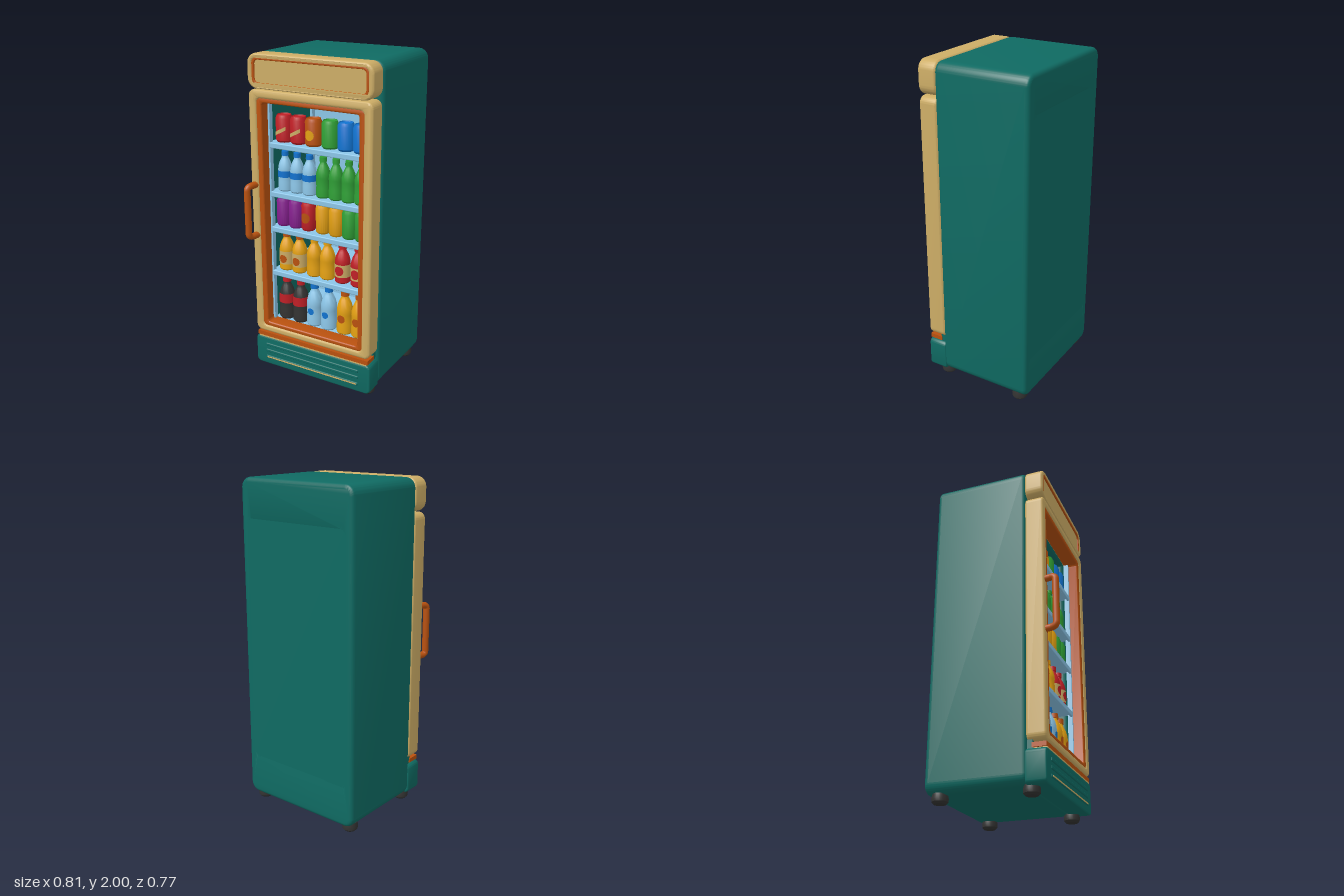
import * as THREE from 'three';
import { toCreasedNormals } from 'three/addons/utils/BufferGeometryUtils.js';
import { RoundedBoxGeometry } from 'three/addons/geometries/RoundedBoxGeometry.js';

const COLORS = {
  teal: 0x0f6a62, cream: 0xcdad66, orange: 0xb9510f, paleBlue: 0x8cc6e8, charcoal: 0x333332,
  red: 0xc01f26, green: 0x2f9f36, amber: 0xe3a012, blue: 0x1173d0, purple: 0x86208f,
};
const mats = {};
for (const [name, color] of Object.entries(COLORS)) {
  mats[name] = new THREE.MeshStandardMaterial({ color });
  mats[name].name = name;
}

function add(parent, name, geometry, color, x = 0, y = 0, z = 0) {
  const mesh = new THREE.Mesh(geometry, mats[color]);
  mesh.name = name;
  mesh.position.set(x, y, z);
  parent.add(mesh);
  return mesh;
}

// Rounded rectangle, symmetric about x = 0
function roundRect(path, w, y0, y1, r) {
  path.moveTo(-w + r, y0);
  path.lineTo(w - r, y0);
  path.absarc(w - r, y0 + r, r, -Math.PI / 2, 0, false);
  path.lineTo(w, y1 - r);
  path.absarc(w - r, y1 - r, r, 0, Math.PI / 2, false);
  path.lineTo(-w + r, y1);
  path.absarc(-w + r, y1 - r, r, Math.PI / 2, Math.PI, false);
  path.lineTo(-w, y0 + r);
  path.absarc(-w + r, y0 + r, r, Math.PI, Math.PI * 1.5, false);
  return path;
}

// Bevelled slab from z0 to z1; outer and hole are [halfWidth, y0, y1, radius]
function slab(outer, hole, z0, z1, bevel) {
  const shape = roundRect(new THREE.Shape(), ...outer);
  if (hole) shape.holes.push(roundRect(new THREE.Path(), ...hole));
  const g = new THREE.ExtrudeGeometry(shape, {
    depth: z1 - z0 - 2 * bevel, bevelEnabled: bevel > 0, bevelThickness: bevel,
    bevelSize: bevel, bevelOffset: -bevel, bevelSegments: 4, curveSegments: 8,
  });
  g.translate(0, 0, z0 + bevel);
  return toCreasedNormals(g, 0.6);
}

function box(parent, name, color, x0, x1, y0, y1, z0, z1) {
  return add(parent, name, new THREE.BoxGeometry(x1 - x0, y1 - y0, z1 - z0), color,
    (x0 + x1) / 2, (y0 + y1) / 2, (z0 + z1) / 2);
}

function lathe(points) {
  return toCreasedNormals(new THREE.LatheGeometry(points.map((p) => new THREE.Vector2(...p)), 24), 0.6);
}

// Wraps a flat decal around a vertical cylinder of radius r
function wrap(g, r, slant = 0) {
  const p = g.attributes.position;
  for (let i = 0; i < p.count; i++) {
    const a = p.getX(i) / r;
    p.setXYZ(i, Math.sin(a) * r, p.getY(i) + slant * p.getX(i), Math.cos(a) * r);
  }
  g.computeVertexNormals();
  return g;
}

function decorate(item, r, h, { band, dot, swoosh }) {
  if (band) {
    const [color, y0, y1] = band;
    add(item, 'label', new THREE.CylinderGeometry(r + 0.001, r + 0.001, (y1 - y0) * h, 24, 1, true),
      color, 0, (y0 + y1) / 2 * h, 0);
  }
  if (dot) add(item, 'labelDot', wrap(new THREE.RingGeometry(0, dot[2] || 0.022, 16, 3), r + 0.003), dot[0], 0, dot[1] * h, 0);
  if (swoosh) add(item, 'labelStripe', wrap(new THREE.PlaneGeometry(0.075, 0.022, 8, 1), r + 0.003, 0.5), swoosh, 0, h * 0.42, 0);
}

function can(r, h, color, deco = {}) {
  const item = new THREE.Group();
  item.name = 'can';
  add(item, 'canBody', lathe([[0, 0], [r * 0.82, 0], [r, 0.012], [r, h - 0.02], [r * 0.84, h - 0.003],
    [r * 0.82, h], [r * 0.78, h - 0.006], [0, h - 0.006]]), color);
  decorate(item, r, h, deco);
  return item;
}

function bottle(r, h, color, deco = {}) {
  const item = new THREE.Group();
  item.name = 'bottle';
  const profile = [[0, 0], [0.85, 0], [1, 0.035], [1, 0.22], [0.97, 0.26], [0.97, 0.46], [1, 0.5],
    [0.96, 0.6], [0.8, 0.71], [0.55, 0.81], [0.42, 0.86], [0.4, 0.92], [0, 0.92]];
  add(item, 'bottleBody', lathe(profile.map(([a, b]) => [a * r, b * h])), color);
  add(item, 'bottleCap', new THREE.CylinderGeometry(r * 0.5, r * 0.52, h * 0.11, 16), deco.cap || color, 0, h * 0.945, 0);
  decorate(item, r, h, deco);
  return item;
}

// Each row: floor height, maker, radius, height, [x, colour, decoration]
const cola = { cap: 'red', band: ['red', 0.4, 0.62] };
const water = { cap: 'blue', dot: ['blue', 0.37] };
const spring = { cap: 'blue', band: ['blue', 0.36, 0.52] };
const juice = { cap: 'orange', band: ['cream', 0.17, 0.52], dot: ['orange', 0.32, 0.026] };
const berry = { band: ['cream', 0.17, 0.5], dot: ['red', 0.34, 0.03] };
const citrus = { cap: 'orange', dot: ['orange', 0.38, 0.026] };
const ROWS = [
  [1.483, can, 0.05, 0.16, [[-0.25, 'red', { swoosh: 'cream' }], [-0.15, 'red', { swoosh: 'cream' }],
    [-0.05, 'orange', { dot: ['amber', 0.42, 0.03] }], [0.06, 'green'], [0.163, 'blue'], [0.263, 'blue']]],
  [1.185, bottle, 0.043, 0.24, [[-0.25, 'paleBlue', spring], [-0.165, 'paleBlue', spring], [-0.08, 'paleBlue', spring],
    [0.013, 'green'], [0.098, 'green'], [0.182, 'green'], [0.265, 'green']]],
  [0.963, can, 0.044, 0.172, [[-0.265, 'purple'], [-0.178, 'purple'], [-0.09, 'red', { dot: ['orange', 0.48, 0.032] }],
    [0.01, 'amber'], [0.1, 'amber'], [0.188, 'green'], [0.272, 'green']]],
  [0.677, bottle, 0.047, 0.24, [[-0.25, 'amber', juice], [-0.157, 'amber', juice], [-0.053, 'amber'],
    [0.04, 'amber'], [0.143, 'red', berry], [0.25, 'red', berry]]],
  [0.345, bottle, 0.05, 0.275, [[-0.255, 'charcoal', cola], [-0.154, 'charcoal', cola], [-0.053, 'paleBlue', water],
    [0.048, 'paleBlue', water], [0.16, 'amber', citrus], [0.26, 'amber', citrus]]],
];

export function createModel() {
  const model = new THREE.Group();
  model.name = 'drinksFridge';

  // Cabinet shell with an open front, closed by a back plate
  add(model, 'cabinet', slab([0.405, 0.05, 2, 0.06], [0.33, 0.33, 1.745, 0.01], -0.385, 0.195, 0.025), 'teal');
  box(model, 'cabinetBack', 'teal', -0.36, 0.36, 0.3, 1.78, -0.385, -0.3);
  box(model, 'innerBack', 'paleBlue', -0.329, 0.329, 0.331, 1.744, -0.3, -0.28);
  box(model, 'innerFloor', 'paleBlue', -0.318, 0.318, 0.331, 0.345, -0.28, 0.235);

  // Header sign panel
  add(model, 'header', slab([0.402, 1.802, 2, 0.06], [0.368, 1.824, 1.976, 0.035], 0.19, 0.305, 0.015), 'cream');
  add(model, 'headerTrim', slab([0.372, 1.82, 1.98, 0.038], [0.356, 1.836, 1.964, 0.025], 0.2, 0.301, 0.004), 'orange');
  add(model, 'headerPanel', slab([0.36, 1.83, 1.97, 0.025], null, 0.2, 0.292, 0), 'cream');

  // Door frame and inner trim
  add(model, 'doorFrame', slab([0.4, 0.28, 1.798, 0.04], [0.345, 0.324, 1.748, 0.025], 0.19, 0.305, 0.015), 'cream');
  add(model, 'doorTrim', slab([0.352, 0.318, 1.754, 0.028], [0.315, 0.347, 1.724, 0.018], 0.205, 0.298, 0.008), 'orange');

  // Lower front panel with strips and vents
  add(model, 'basePanel', slab([0.405, 0.05, 0.242, 0.03], null, 0.185, 0.305, 0.012), 'teal');
  box(model, 'baseFiller', 'teal', -0.385, 0.385, 0.22, 0.29, 0.18, 0.225);
  box(model, 'baseStrip', 'orange', -0.39, 0.39, 0.246, 0.272, 0.22, 0.302);
  box(model, 'baseLine', 'cream', -0.38, 0.38, 0.238, 0.246, 0.22, 0.303);
  for (const y of [0.19, 0.148, 0.104]) {
    add(model, 'ventBar', new RoundedBoxGeometry(0.66, 0.02, 0.014, 2, 0.006), 'teal', 0, y, 0.304);
  }
  box(model, 'ventLine', 'cream', -0.32, 0.32, 0.1, 0.108, 0.308, 0.313);

  // Door handle
  const path = new THREE.CurvePath();
  const pts = [[-0.368, 0.92, 0.29], [-0.375, 0.92, 0.335], [-0.384, 0.945, 0.368],
    [-0.384, 1.21, 0.368], [-0.375, 1.235, 0.335], [-0.368, 1.235, 0.29]].map((p) => new THREE.Vector3(...p));
  const cornerLow = new THREE.Vector3(-0.384, 0.92, 0.368);
  const cornerHigh = new THREE.Vector3(-0.384, 1.235, 0.368);
  path.add(new THREE.LineCurve3(pts[0], pts[1]));
  path.add(new THREE.QuadraticBezierCurve3(pts[1], cornerLow, pts[2]));
  path.add(new THREE.LineCurve3(pts[2], pts[3]));
  path.add(new THREE.QuadraticBezierCurve3(pts[3], cornerHigh, pts[4]));
  path.add(new THREE.LineCurve3(pts[4], pts[5]));
  add(model, 'handle', new THREE.TubeGeometry(path, 80, 0.02, 14), 'orange');

  // Feet
  const foot = lathe([[0, 0], [0.034, 0], [0.045, 0.012], [0.047, 0.03], [0.042, 0.055], [0, 0.055]]);
  for (const x of [-0.34, 0.34]) for (const z of [-0.315, 0.203]) add(model, 'foot', foot, 'charcoal', x, 0.005, z);

  // Shelf rails
  for (const s of [-1, 1]) for (const z of [-0.24, 0.222]) {
    add(model, 'shelfRail', new THREE.BoxGeometry(0.016, 1.39, 0.03), 'paleBlue', s * 0.311, 1.038, z);
  }

  // Shelves and drinks
  for (const [y, make, r, h, items] of ROWS) {
    if (y > 0.4) {
      box(model, 'shelf', 'paleBlue', -0.318, 0.318, y - 0.018, y, -0.28, 0.23);
      add(model, 'shelfLip', new RoundedBoxGeometry(0.625, 0.034, 0.016, 2, 0.006), 'paleBlue', 0, y - 0.016, 0.231);
    }
    for (const [x, color, deco] of items) {
      const item = make(r, h, color, deco);
      item.position.set(x, y, 0.165);
      model.add(item);
    }
  }
  return model;
}
